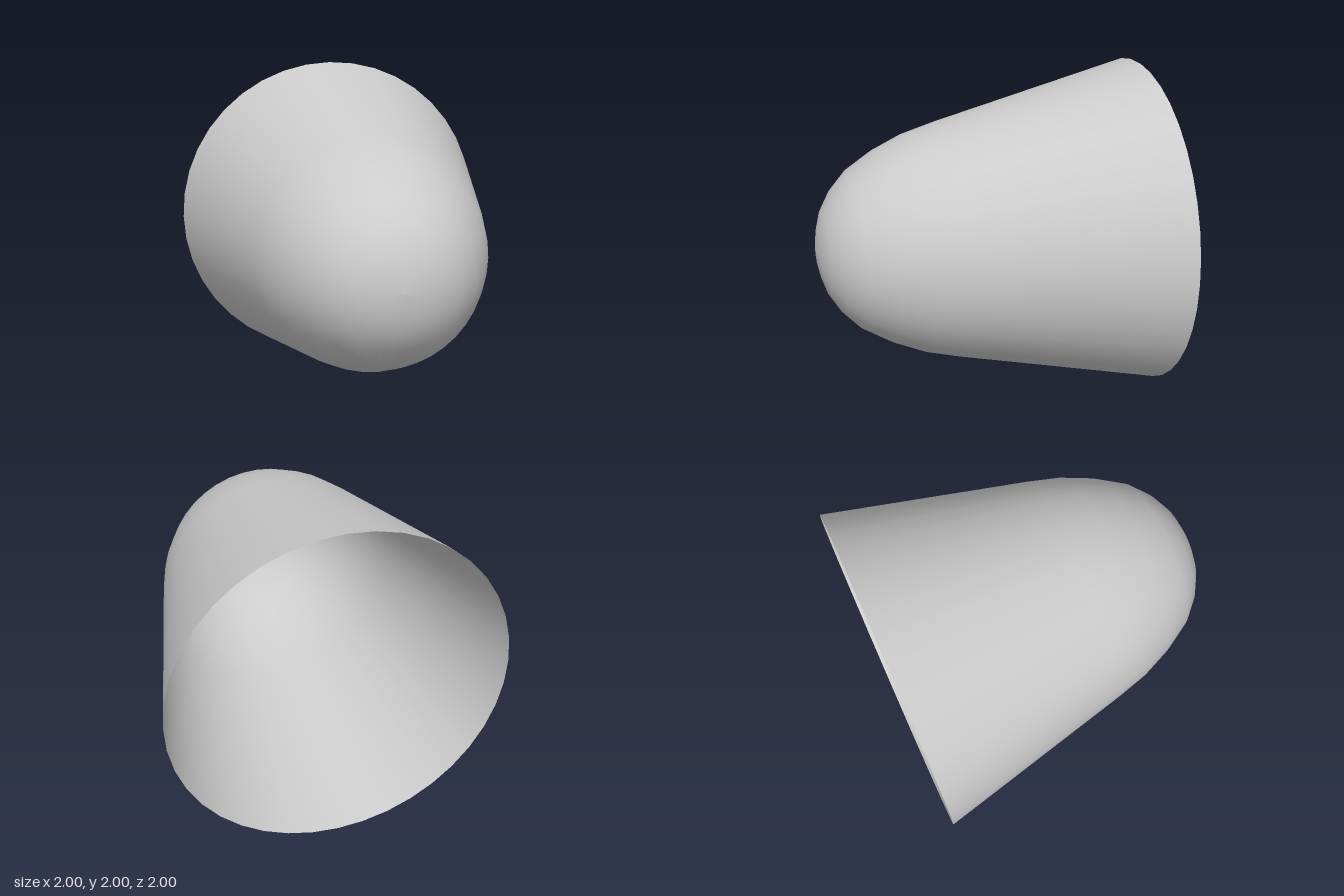
import * as THREE from 'three';

export function createModel() {
  const group = new THREE.Group();

  // Outline as [radius, z], from the open rim at the back to the rounded nose
  const profile = [
    [1, -1], [0.713, 0.22], [0.66, 0.415], [0.578, 0.605], [0.475, 0.775],
    [0.365, 0.88], [0.255, 0.947], [0.16, 0.978], [0.08, 0.994], [0, 1],
  ].map(([r, z]) => new THREE.Vector2(r, z));

  // Thin open shell, turned so that its axis runs along z
  const geometry = new THREE.LatheGeometry(profile, 40);
  geometry.rotateX(Math.PI / 2);
  geometry.translate(0, 1, 0);

  const shell = new THREE.Mesh(
    geometry,
    new THREE.MeshStandardMaterial({ color: 0xcccccc, side: THREE.DoubleSide })
  );
  shell.name = 'noseConeShell';
  group.add(shell);
  return group;
}
